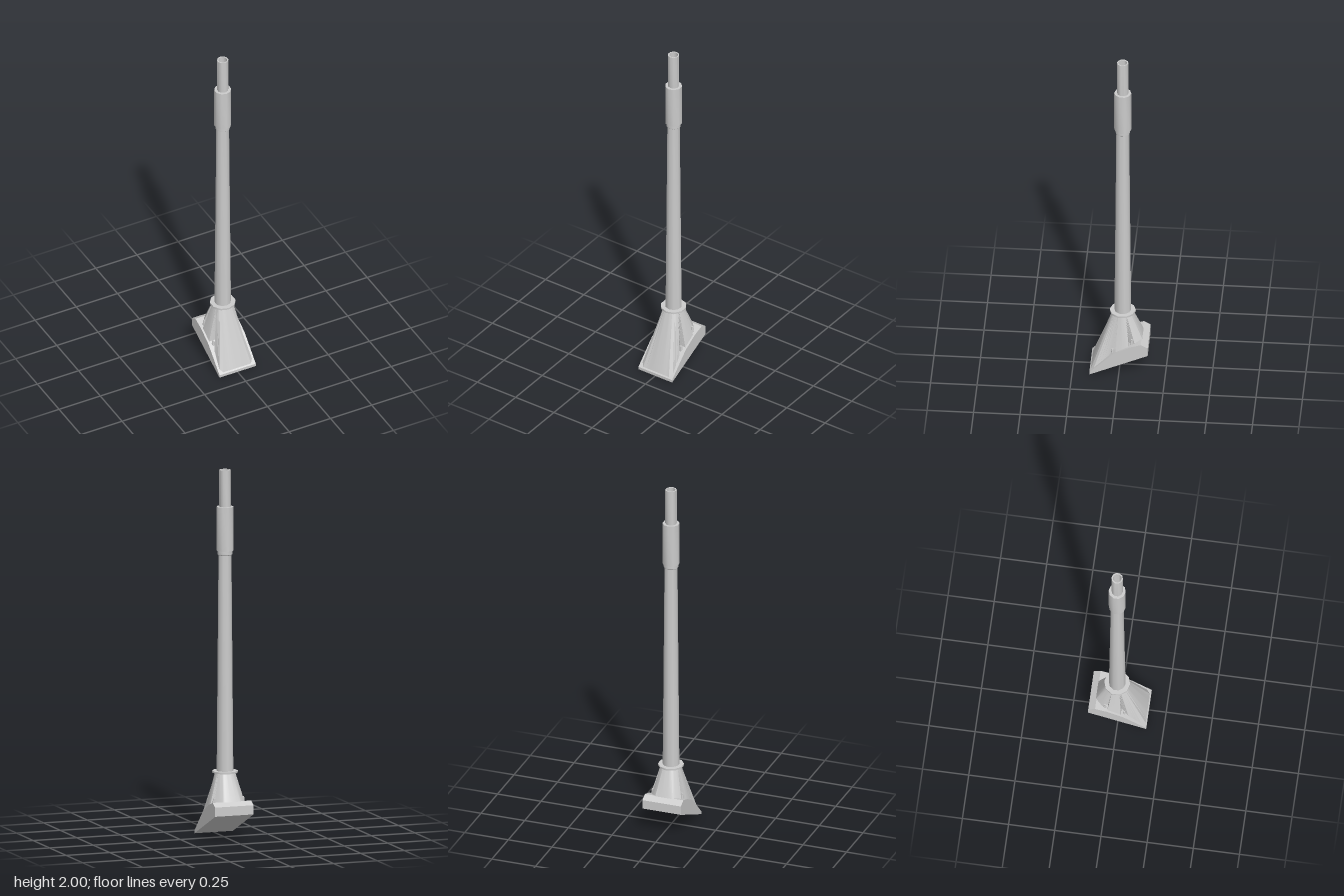
import * as THREE from 'three';
import { toCreasedNormals } from 'three/addons/utils/BufferGeometryUtils.js';

const AXIS_Z = -0.015;
const SIDES = 10;
const material = new THREE.MeshStandardMaterial({ color: 0xcccccc, side: THREE.DoubleSide });

function part(name, geometry, crease = 0.66) {
  const mesh = new THREE.Mesh(toCreasedNormals(geometry, crease), material);
  mesh.name = name;
  return mesh;
}

// Ten-sided turned part from [radius, height] pairs
function turned(name, profile) {
  const mesh = part(name, new THREE.LatheGeometry(profile.map(p => new THREE.Vector2(...p)), SIDES));
  mesh.position.z = AXIS_Z;
  return mesh;
}

// Upper edge of the wedge foot, as [z, y] from front to back
const footTop = [[0.157, 0.016], [0.03, 0.14], [-0.058, 0.19], [-0.12, 0.21], [-0.157, 0.19]];

function footHeight(z) {
  for (let i = 0; i < footTop.length - 1; i++) {
    const [z0, y0] = footTop[i], [z1, y1] = footTop[i + 1];
    if (z <= z0 && z >= z1) return y0 + (y1 - y0) * (z - z0) / (z1 - z0);
  }
  return footTop[0][1];
}

// Sloping wedge, extruded across the width
function footGeometry() {
  const outline = [[0.157, 0], ...footTop, [-0.157, 0.14]];
  const shape = new THREE.Shape(outline.map(p => new THREE.Vector2(...p)));
  const geometry = new THREE.ExtrudeGeometry(shape, { depth: 0.22, bevelEnabled: false });
  return geometry.rotateY(-Math.PI / 2).translate(0.11, 0, 0);
}

// Housing that blends from a notched footprint on the foot to a round neck
function housingGeometry() {
  // [x, z, angle on the neck in degrees], one half from front to back
  const half = [
    [0, 0.152, 0], [0.085, 0.152, 35], [0.1, 0.135, 40], [0.09, 0.058, 62],
    [0.065, 0.018, 66], [0.1, 0.018, 70], [0.1, -0.055, 110], [0.065, -0.055, 114],
    [0.085, -0.085, 118], [0.05, -0.125, 150], [0, -0.125, 180]
  ];
  const other = half.slice(1, -1).reverse().map(([x, z, a]) => [-x, z, 360 - a]);
  const corners = [...half, ...other, [0, 0.152, 360]];
  const steps = 4, positions = [], indices = [];
  for (let i = 0; i < corners.length - 1; i++) {
    for (let s = 0; s < steps; s++) {
      const [x, z, a] = corners[i].map((v, k) => v + (corners[i + 1][k] - v) * s / steps);
      const angle = THREE.MathUtils.degToRad(a);
      positions.push(x, footHeight(z) - 0.003, z);
      positions.push(0.054 * Math.sin(angle), 0.356, AXIS_Z + 0.054 * Math.cos(angle));
    }
  }
  const count = positions.length / 6;
  for (let i = 0; i < count; i++) {
    const a = 2 * i, b = 2 * ((i + 1) % count);
    indices.push(a, b, a + 1, b, b + 1, a + 1);
  }
  const geometry = new THREE.BufferGeometry();
  geometry.setAttribute('position', new THREE.Float32BufferAttribute(positions, 3));
  geometry.setIndex(indices);
  return geometry;
}

export function createModel() {
  const model = new THREE.Group();
  model.name = 'pole';

  // Foot and housing
  model.add(part('foot', footGeometry(), 0.3));
  model.add(part('housing', housingGeometry(), 0.5));

  // Bolts in the four notches
  for (const side of [-1, 1]) {
    for (const [z, height] of [[0.034, 0.03], [-0.07, 0.04]]) {
      const bolt = part('bolt', new THREE.CylinderGeometry(0.005, 0.009, height, 6));
      bolt.position.set(side * 0.084, footHeight(z) + height / 2 - 0.008, z);
      model.add(bolt);
    }
  }

  // Flange, tapered shaft and stepped sleeve
  model.add(turned('flange', [[0, 0.353], [0.07, 0.353], [0.07, 0.363], [0, 0.363]]));
  model.add(turned('shaft', [[0.045, 0.36], [0.035, 1.54]]));
  model.add(turned('collar', [[0.034, 1.535], [0.04, 1.54], [0.04, 1.56]]));
  model.add(turned('sleeve', [[0.034, 1.56], [0.046, 1.56], [0.046, 1.8], [0.028, 1.8]]));

  // Hollow tip
  model.add(turned('tip', [[0.031, 1.79], [0.031, 2], [0.024, 2], [0.024, 1.81], [0, 1.81]]));
  return model;
}
